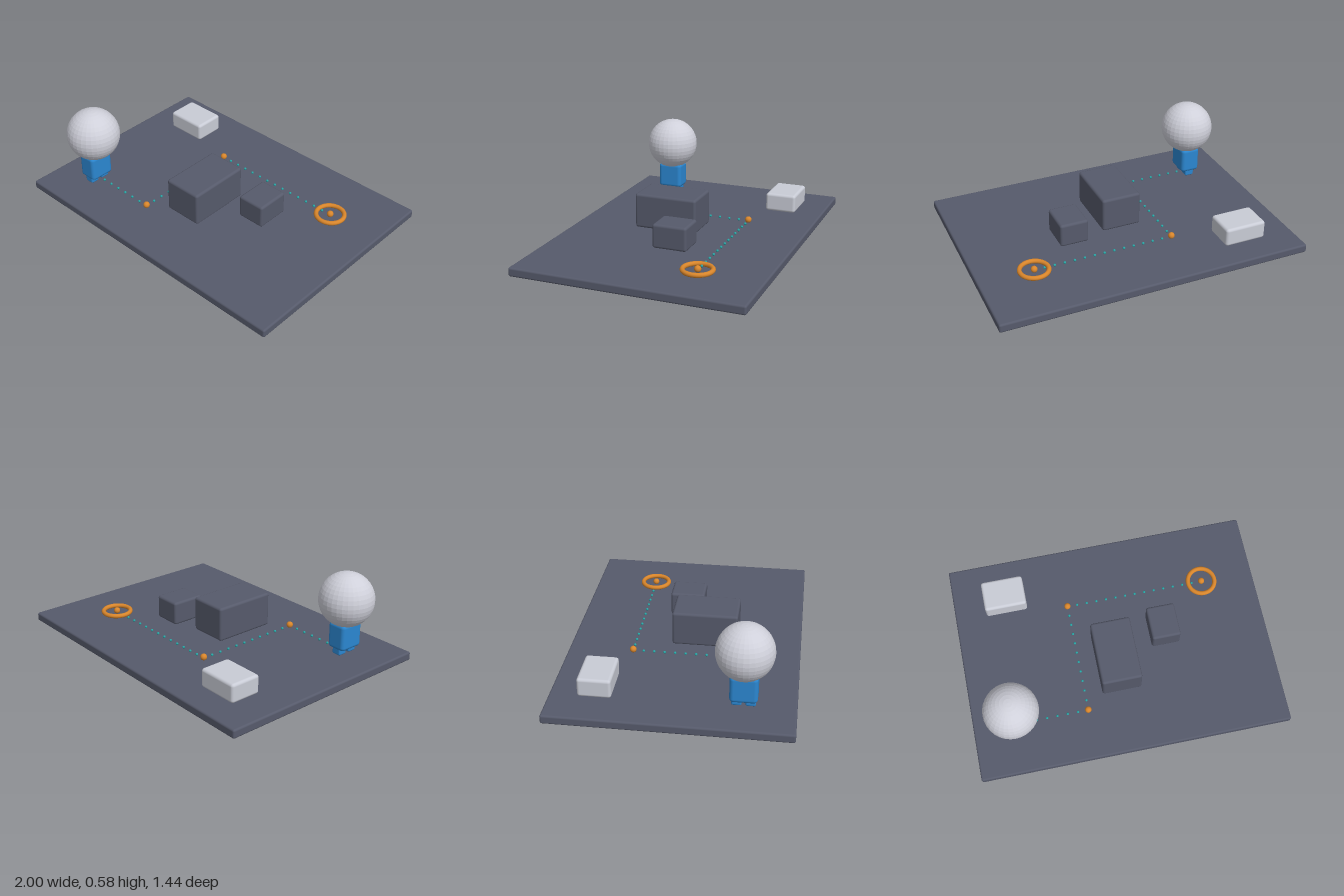
import * as THREE from 'three';
import { RoundedBoxGeometry } from 'three/addons/geometries/RoundedBoxGeometry.js';

const material = (name, color, flatShading = false) => {
  const m = new THREE.MeshStandardMaterial({ color, flatShading });
  m.name = name;
  return m;
};

export function createModel() {
  const model = new THREE.Group();
  model.name = 'routeDiorama';

  const slate = material('slate', 0x565a6b);
  const pale = material('paleGrey', 0xc9ccd6);
  const headGrey = material('headGrey', 0xcfd0da, true);
  const blue = material('blue', 0x2b87d1);
  const orange = material('orange', 0xd9862b);
  const teal = material('teal', 0x2aa5a5);

  const add = (name, geometry, mat, x, y, z, parent = model) => {
    const mesh = new THREE.Mesh(geometry, mat);
    mesh.name = name;
    mesh.position.set(x, y, z);
    parent.add(mesh);
    return mesh;
  };

  // Rounded box given by its extents along each axis
  const box = (name, mat, [x0, x1], [y0, y1], [z0, z1], radius, parent) =>
    add(name, new RoundedBoxGeometry(x1 - x0, y1 - y0, z1 - z0, 3, radius), mat,
      (x0 + x1) / 2, (y0 + y1) / 2, (z0 + z1) / 2, parent);

  // Floor and obstacles
  const floorY = 0.056;
  box('floorSlab', slate, [-1, 1], [0, floorY], [-0.722, 0.722], 0.012);
  box('largeBlock', slate, [-0.149, 0.108], [floorY + 0.004, 0.283], [-0.086, 0.325], 0.016);
  box('smallBlock', slate, [0.23, 0.416], [floorY + 0.004, 0.213], [-0.148, 0.074], 0.016);
  box('paleBlock', pale, [-0.794, -0.521], [floorY + 0.004, 0.18], [-0.552, -0.35], 0.018);

  // Figure facing along the route
  const figure = new THREE.Group();
  figure.name = 'figure';
  model.add(figure);
  const fx = -0.728, fz = 0.413;
  add('head', new THREE.SphereGeometry(0.171, 32, 20), headGrey, fx, 0.405, fz, figure);
  box('body', blue, [fx - 0.064, fx + 0.064], [0.092, 0.265], [fz - 0.082, fz + 0.082], 0.024, figure);
  for (const side of [-1, 1]) {
    const z = fz + side * 0.041;
    box('leg', blue, [fx - 0.031, fx + 0.031], [floorY, 0.125], [z - 0.03, z + 0.03], 0.01, figure);
  }

  // Route: waypoints joined by evenly spaced dots
  const corners = [[fx, 0.408], [-0.26, 0.408], [-0.26, -0.315], [0.651, -0.315]];
  const waypointGeometry = new THREE.SphereGeometry(0.021, 16, 12);
  const dotGeometry = new THREE.SphereGeometry(0.0085, 10, 8);
  const steps = [7, 11, 14];
  steps.forEach((count, i) => {
    const [ax, az] = corners[i];
    const [bx, bz] = corners[i + 1];
    for (let k = 1; k < count; k++) {
      const t = k / count;
      add('routeDot', dotGeometry, teal, ax + (bx - ax) * t, 0.066, az + (bz - az) * t);
    }
    add('waypoint', waypointGeometry, orange, bx, 0.073, bz);
  });

  // Goal ring around the last waypoint
  const ring = add('goalRing', new THREE.TorusGeometry(0.089, 0.0145, 12, 40), orange, 0.651, 0.07, -0.315);
  ring.rotation.x = -Math.PI / 2;

  return model;
}
